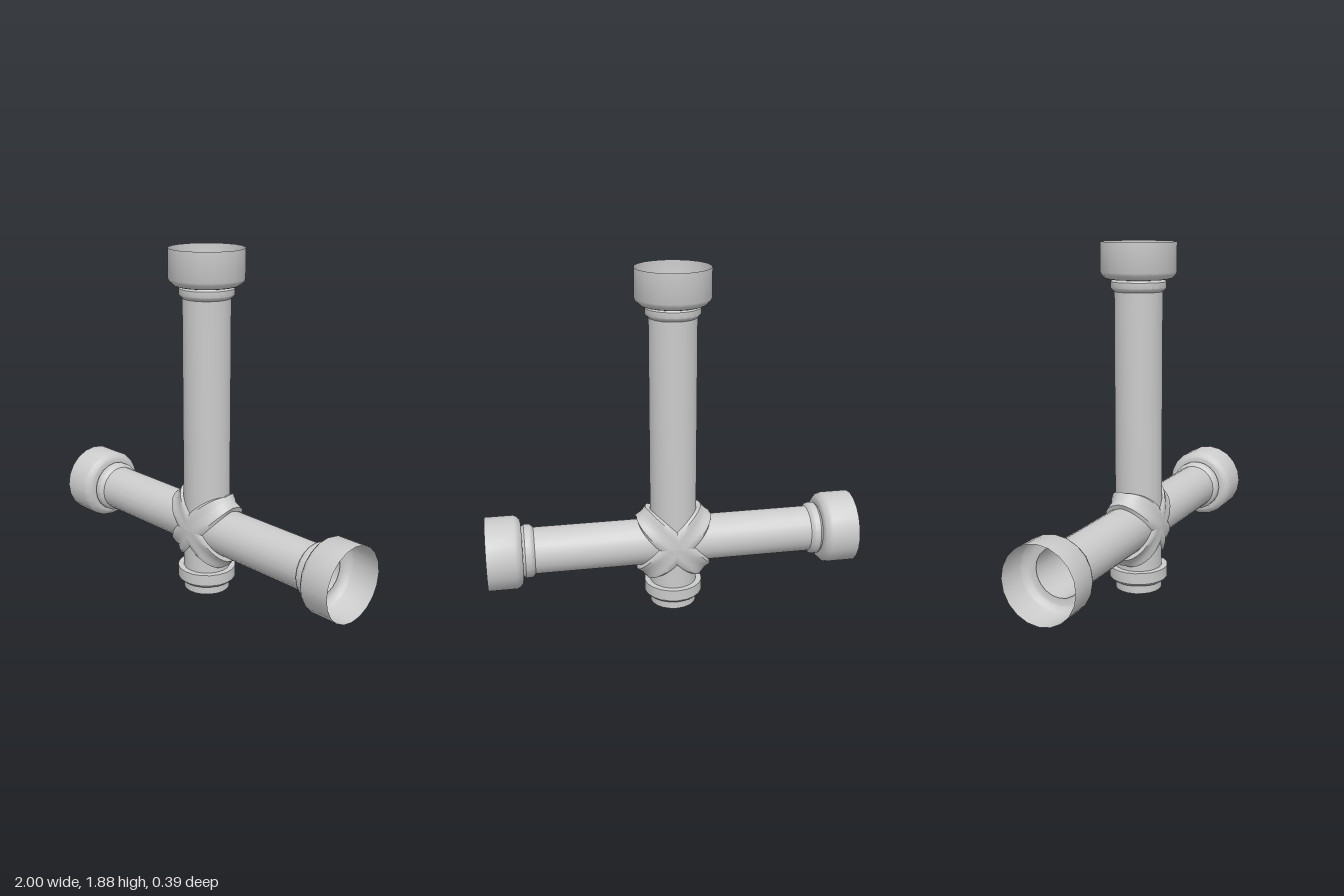
import * as THREE from 'three';
import { toCreasedNormals } from 'three/addons/utils/BufferGeometryUtils.js';

const CENTRE = 0.398; // height of the crossing
const R = 0.125;      // pipe radius
const SIDES = 20;
const material = new THREE.MeshStandardMaterial({ color: 0xcccccc, side: THREE.DoubleSide });

function addMesh(parent, name, geometry, crease = 0.55) {
  const mesh = new THREE.Mesh(toCreasedNormals(geometry, crease), material);
  mesh.name = name;
  parent.add(mesh);
  return mesh;
}

function lathe(points) {
  return new THREE.LatheGeometry(points.map(([r, y]) => new THREE.Vector2(r, y)), SIDES);
}

// Open pipe along +y, its lower end cut to a mitre against its neighbours
function mitredPipe(length) {
  const geometry = lathe([[R, 0], [R, length]]);
  const p = geometry.attributes.position;
  for (let i = 0; i < p.count; i++) {
    if (p.getY(i) < 1e-6) p.setY(i, Math.abs(p.getX(i)));
  }
  return geometry;
}

// Pipe with a collar and an open bell socket
function socketArm(name, length) {
  const arm = new THREE.Group();
  arm.name = name;
  addMesh(arm, 'pipe', mitredPipe(length - 0.18));
  addMesh(arm, 'collar', lathe([
    [R, length - 0.25], [0.137, length - 0.24], [0.143, length - 0.23],
    [0.143, length - 0.2], [0.136, length - 0.19], [R, length - 0.185],
  ]));
  addMesh(arm, 'socket', lathe([
    [R, length - 0.187], [0.16, length - 0.187], [0.172, length - 0.182],
    [0.19, length - 0.164], [0.196, length - 0.15], [0.196, length],
  ]));
  return arm;
}

// Half of a flared seam rib: a band swept round the mitre between two pipes.
// x runs out along the diagonal, y across the band.
function seamRib() {
  const across = [-1, -0.8, -0.4, 0, 0.4, 0.8, 1];
  const rise = [0, 0.012, 0.017, 0.015, 0.017, 0.012, 0];
  const steps = 20, n = across.length;
  const positions = [], index = [];
  for (let i = 0; i <= steps; i++) {
    const a = -Math.PI / 2 + (Math.PI * i) / steps;
    const c = Math.cos(a), sn = Math.sin(a);
    const half = THREE.MathUtils.lerp(0.044, 0.068, Math.abs(sn));
    across.forEach((u, j) => {
      const s = u * half;
      const flare = Math.abs(u) === 1 ? 0 : 0.07 - Math.abs(u) * 0.044;
      positions.push(Math.abs(s) + (R * Math.SQRT2 + flare) * c, s, (R + rise[j]) * sn);
      if (i < steps && j < n - 1) {
        const k = i * n + j;
        index.push(k, k + 1, k + n, k + 1, k + n + 1, k + n);
      }
    });
  }
  const geometry = new THREE.BufferGeometry();
  geometry.setAttribute('position', new THREE.Float32BufferAttribute(positions, 3));
  geometry.setIndex(index);
  return geometry;
}

export function createModel() {
  const model = new THREE.Group();
  model.name = 'pipeCross';

  // Three socketed arms
  [['topArm', 1.482, 0], ['leftArm', 1, -Math.PI / 2], ['rightArm', 1, Math.PI / 2]]
    .forEach(([name, length, turn]) => {
      const arm = socketArm(name, length);
      arm.position.y = CENTRE;
      arm.rotation.z = turn;
      model.add(arm);
    });

  // Short lower arm
  const stub = addMesh(model, 'lowerPipe', mitredPipe(CENTRE - 0.037));
  stub.position.y = CENTRE;
  stub.rotation.z = Math.PI;

  // Ribs over the four mitred seams
  const rib = seamRib();
  for (let i = 0; i < 4; i++) {
    const mesh = addMesh(model, 'seamRib', rib, 0.7);
    mesh.position.y = CENTRE;
    mesh.rotation.z = Math.PI / 4 + (i * Math.PI) / 2;
  }

  // Bevelled ring nut and tapered plug closing the bottom
  addMesh(model, 'ringNut', lathe([
    [R, 0.088], [0.145, 0.088], [0.157, 0.102], [0.157, 0.163], [R, 0.163],
  ]));
  addMesh(model, 'drainPlug', lathe([
    [0, 0], [0.048, 0], [0.082, 0.037], [0.108, 0.037], [R, 0.037],
  ]), 0.4);

  return model;
}
